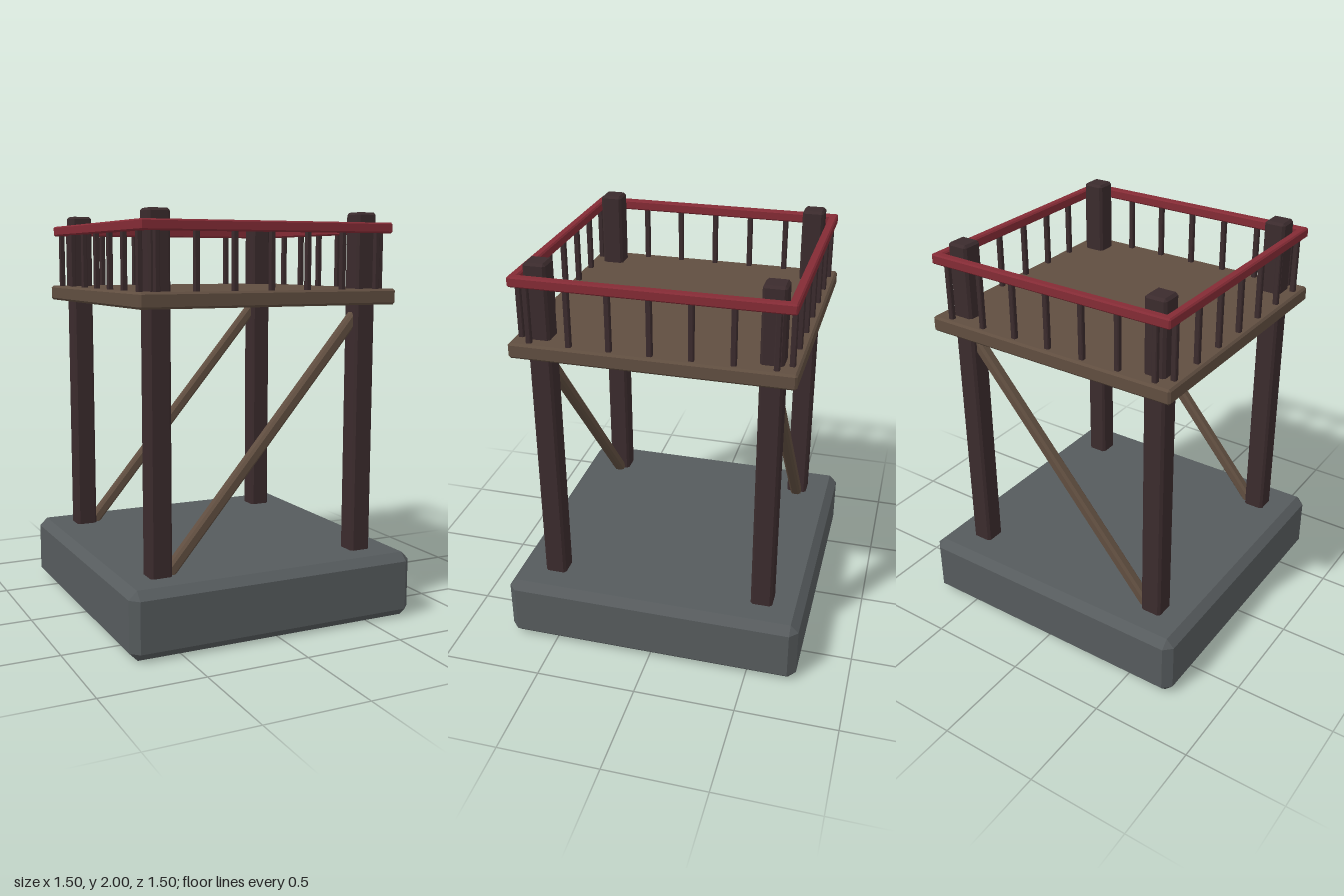
import * as THREE from 'three';
import { ConvexGeometry } from 'three/addons/geometries/ConvexGeometry.js';

const material = (name, color) => {
  const m = new THREE.MeshStandardMaterial({ color });
  m.name = name;
  return m;
};

// Box with flat chamfers on every edge, centred on its own origin
function chamferBox(w, h, d, c) {
  const half = [w / 2, h / 2, d / 2];
  const points = [];
  for (const sx of [-1, 1]) for (const sy of [-1, 1]) for (const sz of [-1, 1]) {
    for (let axis = 0; axis < 3; axis++) {
      const p = half.map((v, i) => (i === axis ? v : v - c));
      points.push(new THREE.Vector3(sx * p[0], sy * p[1], sz * p[2]));
    }
  }
  return new ConvexGeometry(points);
}

export function createModel() {
  const stone = material('stone grey', 0x565b5d);
  const darkWood = material('dark wood', 0x3b2b2d);
  const plankWood = material('plank brown', 0x604e40);
  const redPaint = material('rail red', 0x842b35);

  const model = new THREE.Group();
  model.name = 'watchPlatform';
  const add = (name, geometry, mat, x, y, z, parent = model) => {
    const mesh = new THREE.Mesh(geometry, mat);
    mesh.name = name;
    mesh.position.set(x, y, z);
    parent.add(mesh);
    return mesh;
  };

  // Stone foundation and deck
  add('foundation', chamferBox(1.496, 0.325, 1.496, 0.04), stone, 0, 0.1645, 0);
  add('deck', chamferBox(1.33, 0.075, 1.33, 0.01), plankWood, 0, 1.5975, 0);

  // Corner posts
  const postGeometry = chamferBox(0.108, 1.7, 0.108, 0.012);
  for (const x of [-0.54, 0.54]) for (const z of [-0.54, 0.54]) {
    add('post', postGeometry, darkWood, x, 1.15, z);
  }

  // Parallel diagonal braces on the front and back
  const from = new THREE.Vector2(-0.53, 0.28), to = new THREE.Vector2(0.53, 1.53);
  const braceGeometry = chamferBox(from.distanceTo(to), 0.056, 0.056, 0.012);
  for (const z of [-0.54, 0.54]) {
    const brace = add('brace', braceGeometry, plankWood, 0, (from.y + to.y) / 2, z);
    brace.rotation.z = Math.atan2(to.y - from.y, to.x - from.x);
  }

  // Railing: one handrail and seven balusters per side
  const railGeometry = chamferBox(1.3, 0.05, 0.042, 0.007);
  const balusterGeometry = chamferBox(0.026, 0.29, 0.026, 0.004);
  for (let side = 0; side < 4; side++) {
    const railing = new THREE.Group();
    railing.name = 'railing';
    railing.rotation.y = side * Math.PI / 2;
    add('handrail', railGeometry, redPaint, 0, 1.925, 0.629, railing);
    for (let i = -3; i <= 3; i++) {
      add('baluster', balusterGeometry, darkWood, i * 0.19, 1.765, 0.629, railing);
    }
    model.add(railing);
  }

  return model;
}
